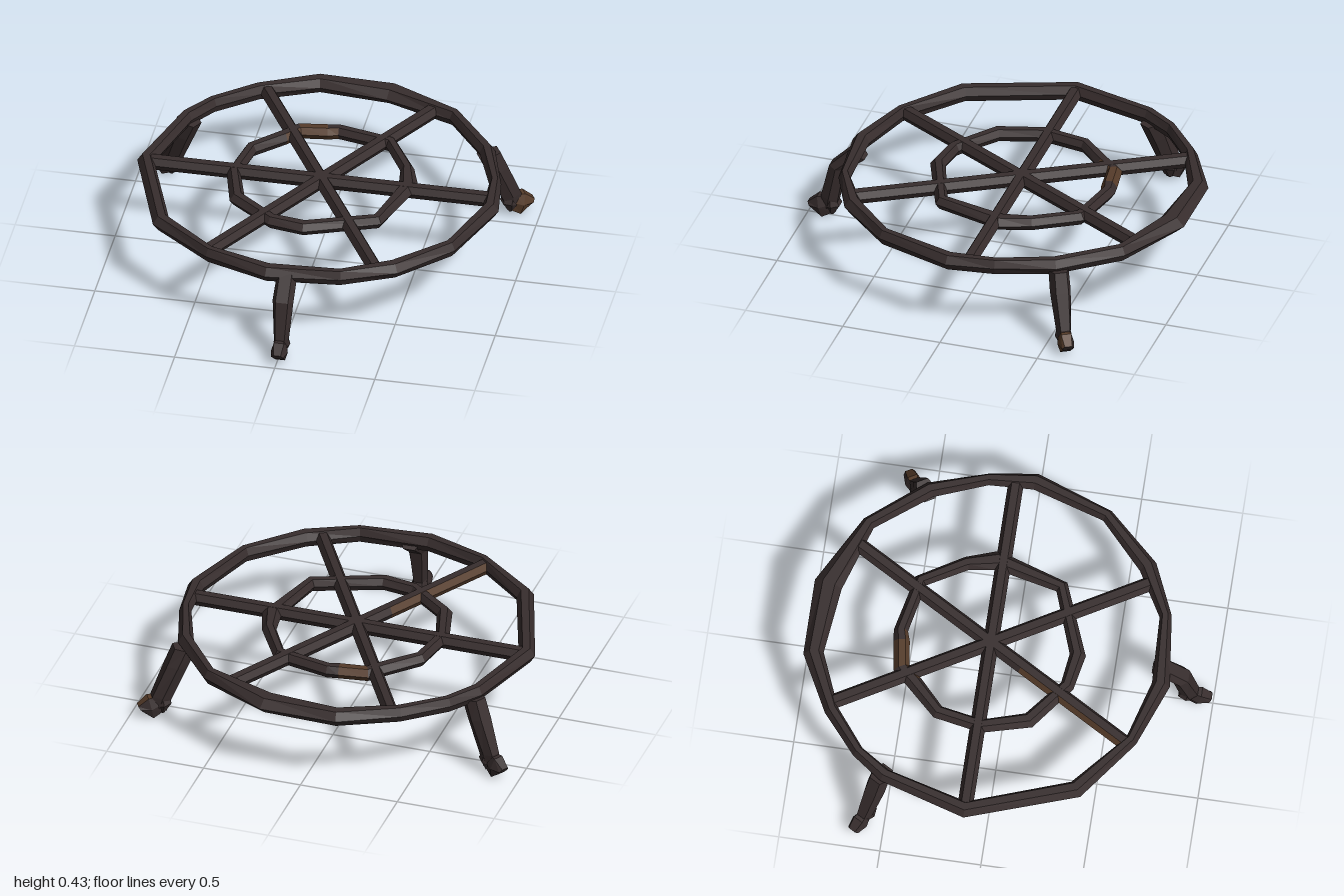
import * as THREE from 'three';

const iron = new THREE.MeshStandardMaterial({ color: 0x372d2d });
iron.name = 'dark iron';
const rust = new THREE.MeshStandardMaterial({ color: 0x563c2a });
rust.name = 'rust';

const CENTER = new THREE.Vector3(0.01, 0, -0.1);
const v = (x, y, z) => new THREE.Vector3(x, y, z);

// Faceted skin over a row of cross-sections; isRusty(i, j) picks the colour of each face.
function loft(name, sections, { closed = false, isRusty = () => false } = {}) {
  const n = sections.length, m = sections[0].length;
  const tris = [[], []];
  const add = (k, a, b, c) => tris[k].push([a, b, c]);
  for (let i = 0; i < (closed ? n : n - 1); i++) {
    const s = sections[i], t = sections[(i + 1) % n];
    for (let j = 0; j < m; j++) {
      const k = isRusty(i, j) ? 1 : 0, q = (j + 1) % m;
      add(k, s[j], t[j], t[q]);
      add(k, s[j], t[q], s[q]);
    }
  }
  if (!closed) {
    const a = sections[0], b = sections[n - 1];
    for (let j = 1; j < m - 1; j++) {
      add(0, a[0], a[j], a[j + 1]);
      add(0, b[0], b[j + 1], b[j]);
    }
  }
  // Turn all faces outward if the enclosed volume is negative.
  const mid = sections[0][0];
  let volume = 0;
  for (const [a, b, c] of tris.flat()) {
    volume += a.clone().sub(mid).dot(b.clone().sub(mid).cross(c.clone().sub(mid)));
  }
  const order = volume < 0 ? [0, 2, 1] : [0, 1, 2];
  const points = tris.flat().flatMap((t) => order.map((o) => t[o]));
  const geo = new THREE.BufferGeometry().setFromPoints(points);
  geo.computeVertexNormals();
  geo.addGroup(0, tris[0].length * 3, 0);
  if (tris[1].length) geo.addGroup(tris[0].length * 3, tris[1].length * 3, 1);
  const mesh = new THREE.Mesh(geo, [iron, rust]);
  mesh.name = name;
  return mesh;
}

// Uneven hammered ring: each outline point is [x, z, band width].
function ring(name, outline, bottom, top, isRusty) {
  const midY = (bottom + top) / 2;
  const profile = [[0, midY], [0.3, top], [0.75, top], [1, midY], [0.75, bottom], [0.3, bottom]];
  const sections = outline.map(([x, z, w]) => {
    const inward = v(CENTER.x - x, 0, CENTER.z - z).normalize();
    return profile.map(([k, y]) => v(x + inward.x * w * k, y, z + inward.z * w * k));
  });
  return loft(name, sections, { closed: true, isRusty });
}

// Six-sided bar from the hub to the outer ring.
function spoke(angle, isRusty) {
  const dir = v(Math.cos(angle), 0, Math.sin(angle));
  const side = v(-dir.z, 0, dir.x);
  const sections = [0, 0.2, 0.6, 0.86].map((r) =>
    Array.from({ length: 6 }, (_, j) => {
      const a = (j * Math.PI) / 3;
      return CENTER.clone().addScaledVector(dir, r)
        .addScaledVector(side, 0.038 * Math.cos(a))
        .add(v(0, 0.393 + 0.038 * Math.sin(a), 0));
    }));
  return loft('spoke', sections, { isRusty });
}

// Leg parts; each row: inner [r, y], outer [r, y], half width.
const BENT_LEG = [
  [[0.80, 0.365], [0.86, 0.425], 0.05],
  [[0.905, 0.285], [0.98, 0.305], 0.052],
  [[0.94, 0.10], [1.025, 0.12], 0.038],
  [[0.955, 0.03], [1.03, 0.075], 0.03],
];
const STRAIGHT_LEG = [
  [[0.81, 0.365], [0.915, 0.385], 0.05],
  [[0.855, 0.27], [0.955, 0.29], 0.052],
  [[0.93, 0.10], [1.025, 0.12], 0.038],
  [[0.955, 0.03], [1.03, 0.075], 0.03],
];
const FOOT = [
  [[0.965, 0.03], [0.995, 0.115], 0.026],
  [[1.02, 0], [1.045, 0.112], 0.042],
  [[1.075, 0.04], [1.095, 0.07], 0.03],
];
const SPUR = [
  [[0.955, 0.12], [1.0, 0.12], 0.03],
  [[0.93, 0.075], [1.01, 0.06], 0.042],
  [[0.965, 0.018], [0.985, 0.024], 0.02],
];

function leg(angle, bar, isFootRusty) {
  const dir = v(Math.cos(angle), 0, Math.sin(angle));
  const side = v(-dir.z, 0, dir.x);
  const at = (r, y, s) =>
    CENTER.clone().addScaledVector(dir, r).addScaledVector(side, s).add(v(0, y, 0));
  const build = (name, rows, isRusty) => loft(name, rows.map(([[r0, y0], [r1, y1], w]) => {
    const r = (r0 + r1) / 2, y = (y0 + y1) / 2;
    return [
      at(r0, y0, -w * 0.6), at(r, y, -w), at(r1, y1, -w * 0.6),
      at(r1, y1, w * 0.6), at(r, y, w), at(r0, y0, w * 0.6),
    ];
  }), { isRusty });
  const group = new THREE.Group();
  group.name = 'leg';
  group.add(build('legBar', bar), build('foot', FOOT, isFootRusty), build('heelSpur', SPUR));
  return group;
}

export function createModel() {
  const model = new THREE.Group();
  model.name = 'trivet';

  model.add(ring('outerRing', [
    [-0.18, -1.0, 0.1], [0.21, -1.0, 0.14], [0.56, -0.81, 0.07], [0.79, -0.53, 0.08],
    [0.88, -0.24, 0.06], [0.915, 0, 0.085], [0.775, 0.385, 0.065], [0.54, 0.64, 0.09],
    [0.28, 0.755, 0.06], [-0.09, 0.8, 0.09], [-0.41, 0.68, 0.06], [-0.72, 0.45, 0.09],
    [-0.91, -0.1, 0.085], [-0.78, -0.53, 0.07], [-0.67, -0.68, 0.06], [-0.47, -0.85, 0.07],
  ], 0.355, 0.433));

  // The back of the inner ring is rusty, fading out along its inner and lower faces.
  model.add(ring('innerRing', [
    [0.01, -0.58, 0.07], [0.3, -0.515, 0.07], [0.435, -0.29, 0.07], [0.49, -0.13, 0.1],
    [0.375, 0.225, 0.07], [0.01, 0.37, 0.08], [-0.17, 0.335, 0.07], [-0.395, 0.165, 0.08],
    [-0.46, -0.08, 0.07], [-0.415, -0.32, 0.07], [-0.27, -0.475, 0.08],
    [-0.2, -0.55, 0.08], [-0.05, -0.573, 0.08],
  ], 0.36, 0.425, (i, j) => i === 11 || ((i === 10 || i === 12) && j >= 2 && j <= 4)));

  // One front spoke is rusty on its outer side and under its tip.
  const spokeRust = {
    2: (i, j) => (i > 0 && (j === 0 || j === 5)) || (i === 2 && j === 4),
  };
  for (let k = 0; k < 6; k++) model.add(spoke((k * Math.PI) / 3, spokeRust[k]));

  // Three legs: a bent one in front and two straight ones behind.
  const rad = THREE.MathUtils.degToRad;
  model.add(
    leg(rad(90), BENT_LEG),
    leg(rad(210), STRAIGHT_LEG),
    leg(rad(330), STRAIGHT_LEG, (i, j) => j >= 2 && j <= 4));

  return model;
}
